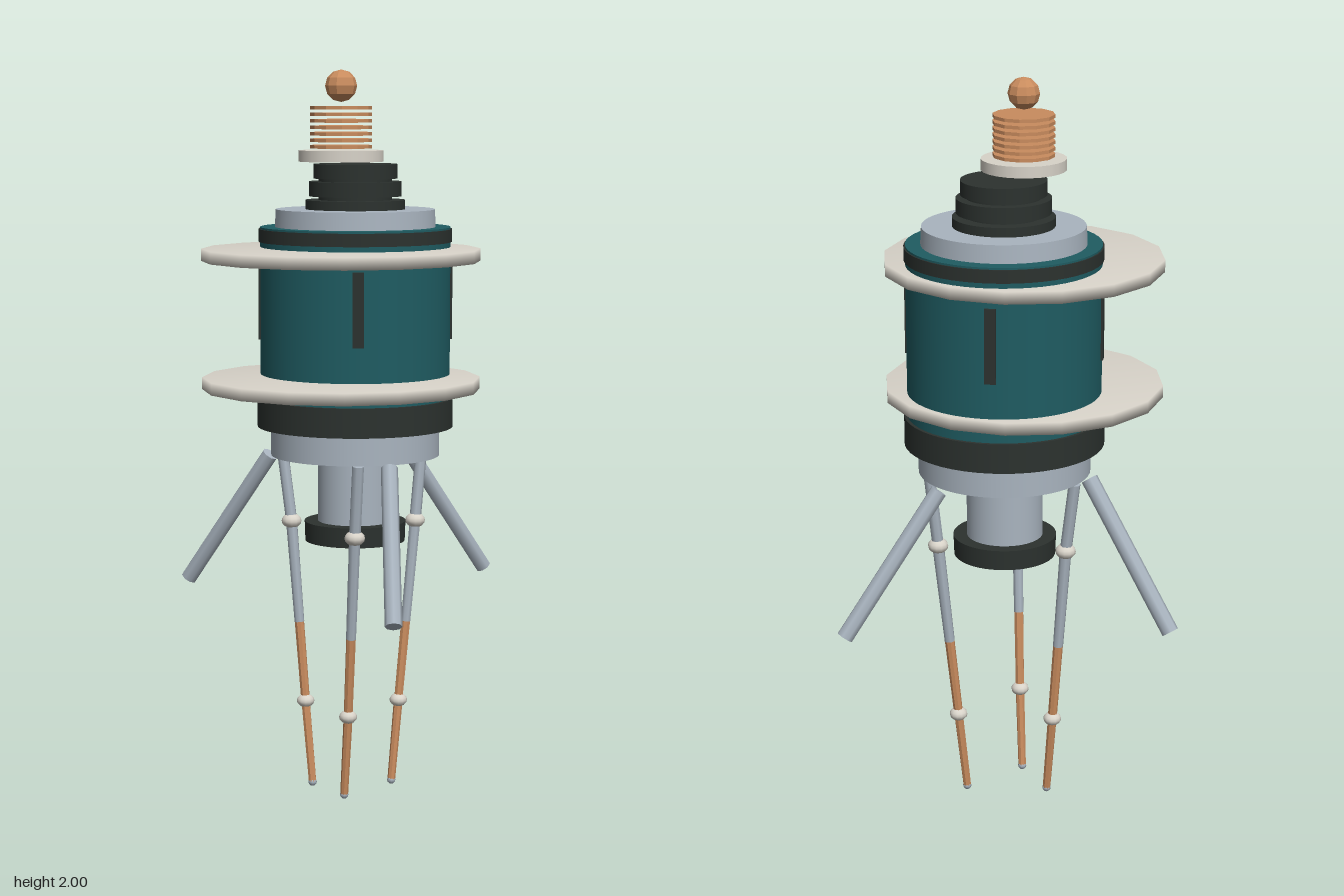
import * as THREE from 'three';
import { mergeVertices } from 'three/addons/utils/BufferGeometryUtils.js';

const paint = (name, color, flatShading = false) =>
  Object.assign(new THREE.MeshStandardMaterial({ color }), { name, flatShading });

export function createModel() {
  const teal = paint('teal', 0x1f5c62);
  const charcoal = paint('charcoal', 0x2c322f);
  const steel = paint('steel', 0xa9b4bf);
  const cream = paint('cream', 0xd8d3c9);
  const copper = paint('copper', 0xc98c5e, true);

  const model = new THREE.Group();
  model.name = 'probe';
  const body = new THREE.Group();
  body.name = 'body';
  body.position.set(0.041, 0, -0.088);
  model.add(body);

  const add = (parent, name, geometry, material, x = 0, y = 0, z = 0) => {
    const mesh = new THREE.Mesh(geometry, material);
    mesh.name = name;
    mesh.position.set(x, y, z);
    parent.add(mesh);
    return mesh;
  };

  // Upright disc or drum between two heights
  const drum = (parent, name, material, y0, y1, r, rTop = r, sides = 48) =>
    add(parent, name, new THREE.CylinderGeometry(rTop, r, y1 - y0, sides), material, 0, (y0 + y1) / 2, 0);

  // Straight rod between two points
  const rod = (parent, name, material, a, b, rA, rB = rA) => {
    const dir = b.clone().sub(a);
    const mesh = add(parent, name, new THREE.CylinderGeometry(rB, rA, dir.length(), 8), material);
    mesh.position.copy(a).add(b).multiplyScalar(0.5);
    mesh.quaternion.setFromUnitVectors(new THREE.Vector3(0, 1, 0), dir.normalize());
    return mesh;
  };

  // Main drum with its bands and collars
  drum(body, 'mainDrum', teal, 1.09, 1.577, 0.26);
  drum(body, 'lowerBand', charcoal, 1.03, 1.11, 0.269);
  drum(body, 'upperBand', charcoal, 1.537, 1.572, 0.264);
  drum(body, 'topCollar', steel, 1.57, 1.625, 0.22, 0.217);
  drum(body, 'bottomCollar', steel, 0.95, 1.035, 0.232);
  drum(body, 'neck', steel, 0.76, 0.96, 0.103);
  drum(body, 'nozzle', charcoal, 0.71, 0.765, 0.138, 0.14);

  // Four slot strips around the drum
  for (let i = 0; i < 4; i++) {
    const a = (i * Math.PI) / 2;
    const strip = add(body, 'slotStrip', new THREE.BoxGeometry(0.03, 0.2, 0.02), charcoal,
      Math.sin(a) * 0.255, 1.37, Math.cos(a) * 0.255);
    strip.rotation.y = a;
  }

  // Stepped cap
  drum(body, 'capCore', charcoal, 1.62, 1.74, 0.1);
  [[1.622, 1.65, 0.136], [1.66, 1.7, 0.126], [1.708, 1.747, 0.114]]
    .forEach(([y0, y1, r]) => drum(body, 'capStep', charcoal, y0, y1, r));

  // Broad plates with softened rims
  for (const y of [1.142, 1.49]) {
    const plate = drum(model, 'widePlate', cream, y, y + 0.033, 0.377, 0.377, 16);
    plate.geometry.deleteAttribute('normal');
    plate.geometry.deleteAttribute('uv');
    plate.geometry = mergeVertices(plate.geometry);
    plate.geometry.computeVertexNormals();
  }

  // Antenna: base disc, coil of thin rings and ball
  drum(model, 'coilBase', cream, 1.756, 1.786, 0.114, 0.114, 24);
  for (let i = 0; i < 7; i++) {
    const y = 1.791 + i * 0.0172;
    drum(model, 'coilTurn', copper, y, y + 0.009, 0.083, 0.083, 12);
  }
  add(model, 'antennaBall', new THREE.SphereGeometry(0.043, 10, 6), copper, 0, 1.957, 0);

  // Three splayed struts, set off from the centre line
  for (let i = 0; i < 3; i++) {
    const strut = new THREE.Group();
    strut.name = 'strutMount';
    strut.rotation.y = (i * Math.PI * 2) / 3;
    body.add(strut);
    rod(strut, 'strut', steel, new THREE.Vector3(0.085, 0.945, 0.222),
      new THREE.Vector3(0.085, 0.57, 0.492), 0.023);
  }

  // Three jointed legs: top, upper knuckle, lower knuckle, tip
  const legs = [
    [[-0.16, 0.95, -0.185], [-0.135, 0.75, -0.165], [-0.097, 0.24, -0.135], [-0.078, 0.012, -0.105]],
    [[0.042, 0.95, 0.142], [0.034, 0.75, 0.115], [0.018, 0.24, 0.052], [0.008, 0.012, 0.024]],
    [[0.23, 0.95, -0.185], [0.212, 0.75, -0.168], [0.165, 0.24, -0.138], [0.145, 0.012, -0.12]],
  ];
  for (const points of legs) {
    const leg = new THREE.Group();
    leg.name = 'leg';
    model.add(leg);
    const [top, knee, ankle, tip] = points.map((p) => new THREE.Vector3(...p));
    const seam = knee.clone().lerp(ankle, 0.56);
    rod(leg, 'thigh', steel, top, knee, 0.016);
    rod(leg, 'shin', steel, knee, seam, 0.016, 0.014);
    rod(leg, 'copperShin', copper, seam, ankle, 0.0135, 0.0125);
    rod(leg, 'copperFoot', copper, ankle, tip, 0.0125, 0.011);
    for (const [joint, r] of [[knee, 0.028], [ankle, 0.025]]) {
      add(leg, 'knuckle', new THREE.SphereGeometry(r, 12, 8), cream, ...joint).scale.y = 0.75;
    }
    add(leg, 'tip', new THREE.SphereGeometry(0.012, 8, 6), steel, ...tip);
  }
  return model;
}
